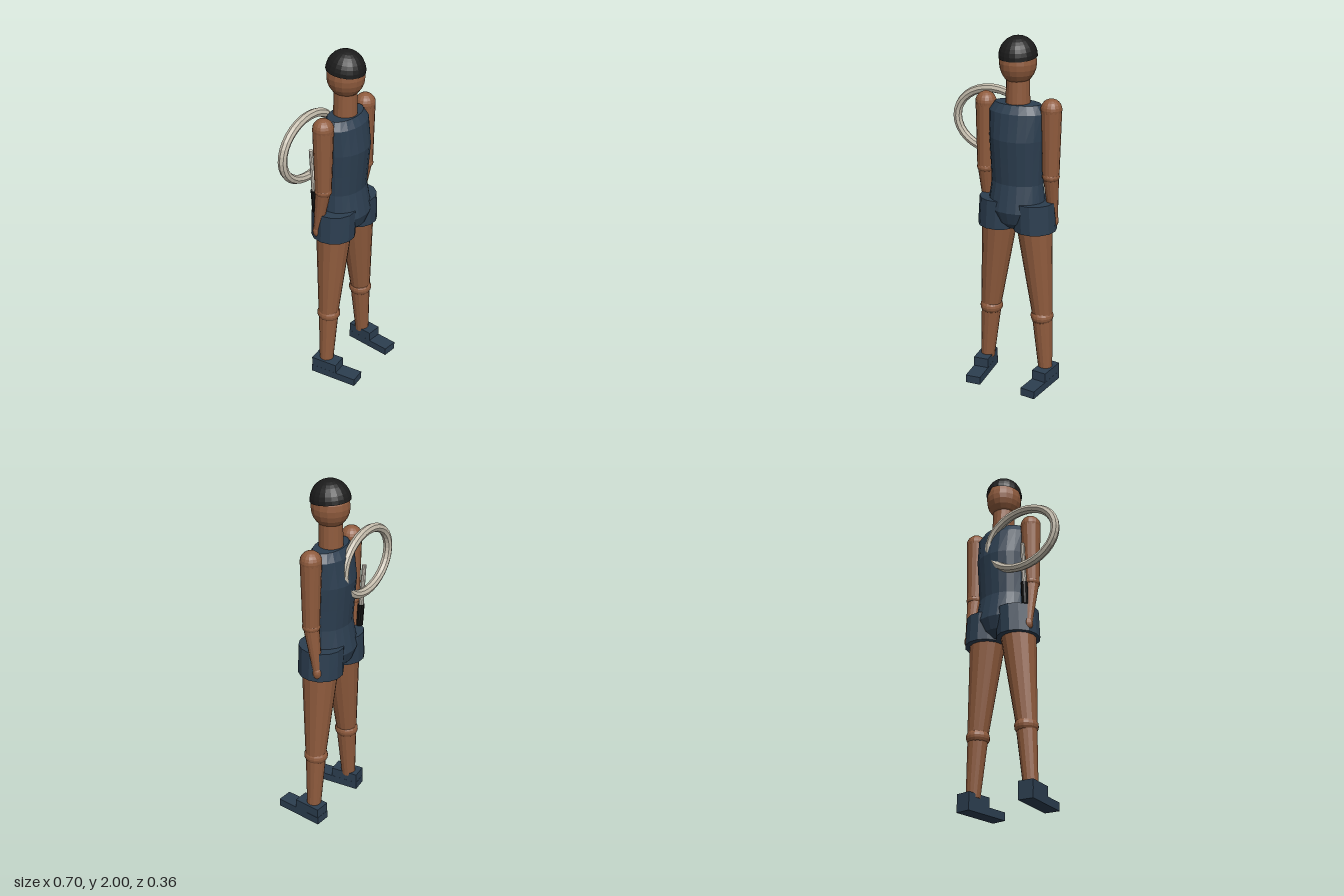
import * as THREE from 'three';

const CX = 0.097, CZ = -0.038; // body axis

function mat(name, color, extra = {}) {
  const m = new THREE.MeshStandardMaterial({ color, flatShading: true, ...extra });
  m.name = name;
  return m;
}

// Closed solid through horizontal elliptical rings [x, y, z, rx, rz], listed bottom to top
function loft(rings, sides) {
  const pos = [], idx = [], n = rings.length;
  for (const [x, y, z, rx, rz] of rings) {
    for (let i = 0; i < sides; i++) {
      const a = (i / sides) * Math.PI * 2;
      pos.push(x + rx * Math.cos(a), y, z + rz * Math.sin(a));
    }
  }
  const low = n * sides, high = low + 1, last = (n - 1) * sides;
  pos.push(...rings[0].slice(0, 3), ...rings[n - 1].slice(0, 3));
  for (let i = 0; i < sides; i++) {
    const k = (i + 1) % sides;
    for (let r = 0; r < n - 1; r++) {
      const a = r * sides + i, b = r * sides + k;
      idx.push(a, a + sides, b, b, a + sides, b + sides);
    }
    idx.push(low, i, k, high, last + k, last + i);
  }
  const g = new THREE.BufferGeometry();
  g.setAttribute('position', new THREE.Float32BufferAttribute(pos, 3));
  g.setIndex(idx);
  g.computeVertexNormals();
  return g;
}

export function createModel() {
  const model = new THREE.Group();
  model.name = 'figure';
  const skin = mat('skin brown', 0x8f5b3d);
  const navy = mat('navy cloth', 0x2c3e50);
  const black = mat('black hair', 0x1c1c1c, { side: THREE.DoubleSide });
  const ivory = mat('ivory', 0xc4bcac);
  const pale = mat('pale stick', 0xd8d2c6);
  const dark = mat('dark grip', 0x141414);

  function add(name, geometry, material, x = 0, y = 0, z = 0) {
    const m = new THREE.Mesh(geometry, material);
    m.name = name;
    m.position.set(x, y, z);
    model.add(m);
    return m;
  }
  function ball(name, material, x, y, z, rx, ry, rz) {
    const m = add(name, new THREE.SphereGeometry(1, 16, 12), material, x, y, z);
    m.scale.set(rx, ry, rz);
    return m;
  }

  // Head, hair and neck
  ball('head', skin, CX, 1.857, -0.036, 0.1, 0.118, 0.105);
  const hair = add('hair', new THREE.SphereGeometry(1, 20, 8, 0, Math.PI * 2, 0, Math.PI / 2), black, CX, 1.889, -0.037);
  hair.scale.set(0.104, 0.111, 0.109);
  hair.rotation.x = 0.11;
  add('neck', new THREE.CylinderGeometry(0.063, 0.067, 0.16, 16), skin, CX, 1.7, CZ);

  // Torso, from crotch to shoulders
  const profile = [
    [0.94, 0.05, 0.07], [0.98, 0.11, 0.115], [1.05, 0.165, 0.138], [1.2, 0.148, 0.107],
    [1.32, 0.153, 0.117], [1.45, 0.16, 0.128], [1.595, 0.162, 0.105], [1.64, 0.132, 0.075],
  ];
  add('torso', loft(profile.map(([y, rx, rz]) => [CX, y, CZ, rx, rz]), 20), navy);

  for (const [side, s] of [['left', 1], ['right', -1]]) {
    const X = (d) => CX + s * d;

    // Shorts and legs
    add(side + 'ShortsLeg', loft([
      [X(0.108), 0.935, CZ - 0.004, 0.121, 0.126],
      [X(0.1), 1.1, CZ - 0.004, 0.119, 0.126],
    ], 14), navy);
    add(side + 'Shin', loft([
      [X(0.186), 0.08, -0.04, 0.04, 0.04],
      [X(0.16), 0.42, -0.04, 0.058, 0.058],
    ], 14), skin);
    ball(side + 'Knee', skin, X(0.16), 0.415, -0.04, 0.065, 0.052, 0.068);
    add(side + 'Thigh', loft([
      [X(0.162), 0.42, -0.04, 0.058, 0.058],
      [X(0.106), 0.96, CZ, 0.101, 0.101],
    ], 14), skin);

    // Shoes, toes turned slightly inward
    const shoe = new THREE.Group();
    shoe.name = side + 'Shoe';
    shoe.position.set(X(0.187), 0, 0.034);
    shoe.rotation.y = -s * 0.1;
    const sole = new THREE.Mesh(new THREE.BoxGeometry(0.088, 0.046, 0.287), navy);
    sole.name = side + 'Sole';
    sole.position.y = 0.023;
    const heel = new THREE.Mesh(new THREE.BoxGeometry(0.087, 0.056, 0.16), navy);
    heel.name = side + 'ShoeUpper';
    heel.position.set(0, 0.073, -0.062);
    shoe.add(sole, heel);
    model.add(shoe);

    // Arms
    ball(side + 'Shoulder', skin, X(0.194), 1.622, -0.043, 0.058, 0.058, 0.058);
    add(side + 'UpperArm', loft([
      [X(0.198), 1.25, -0.043, 0.046, 0.046],
      [X(0.194), 1.622, -0.043, 0.057, 0.057],
    ], 14), skin);
    ball(side + 'Elbow', skin, X(0.198), 1.25, -0.043, 0.048, 0.035, 0.049);
    add(side + 'Forearm', loft([
      [X(0.2), 1.0, -0.08, 0.026, 0.024],
      [X(0.198), 1.25, -0.043, 0.044, 0.044],
    ], 14), skin);
    ball(side + 'Hand', skin, X(0.2), 0.985, -0.083, 0.03, 0.04, 0.026);
  }

  // Oval hoop slung behind the right shoulder, partly sunk in the back
  const hoop = new THREE.TorusGeometry(0.2, 0.025, 8, 32);
  const p = hoop.attributes.position;
  for (let i = 0; i < p.count; i++) {
    const a = Math.atan2(p.getY(i), p.getX(i)), r = Math.hypot(p.getX(i), p.getY(i)) - 0.2;
    p.setXY(i, (0.225 + r) * Math.cos(a), (0.177 + r) * Math.sin(a));
  }
  hoop.computeVertexNormals();
  add('hoop', hoop, ivory, -0.1, 1.495, -0.137);

  // Short stick with a grip, behind the right arm
  add('stickGrip', loft([[-0.097, 1.1, -0.1, 0.019, 0.019], [-0.097, 1.23, -0.109, 0.019, 0.019]], 10), dark);
  add('stick', loft([[-0.097, 1.23, -0.109, 0.014, 0.014], [-0.097, 1.47, -0.125, 0.012, 0.012]], 10), pale);

  return model;
}
